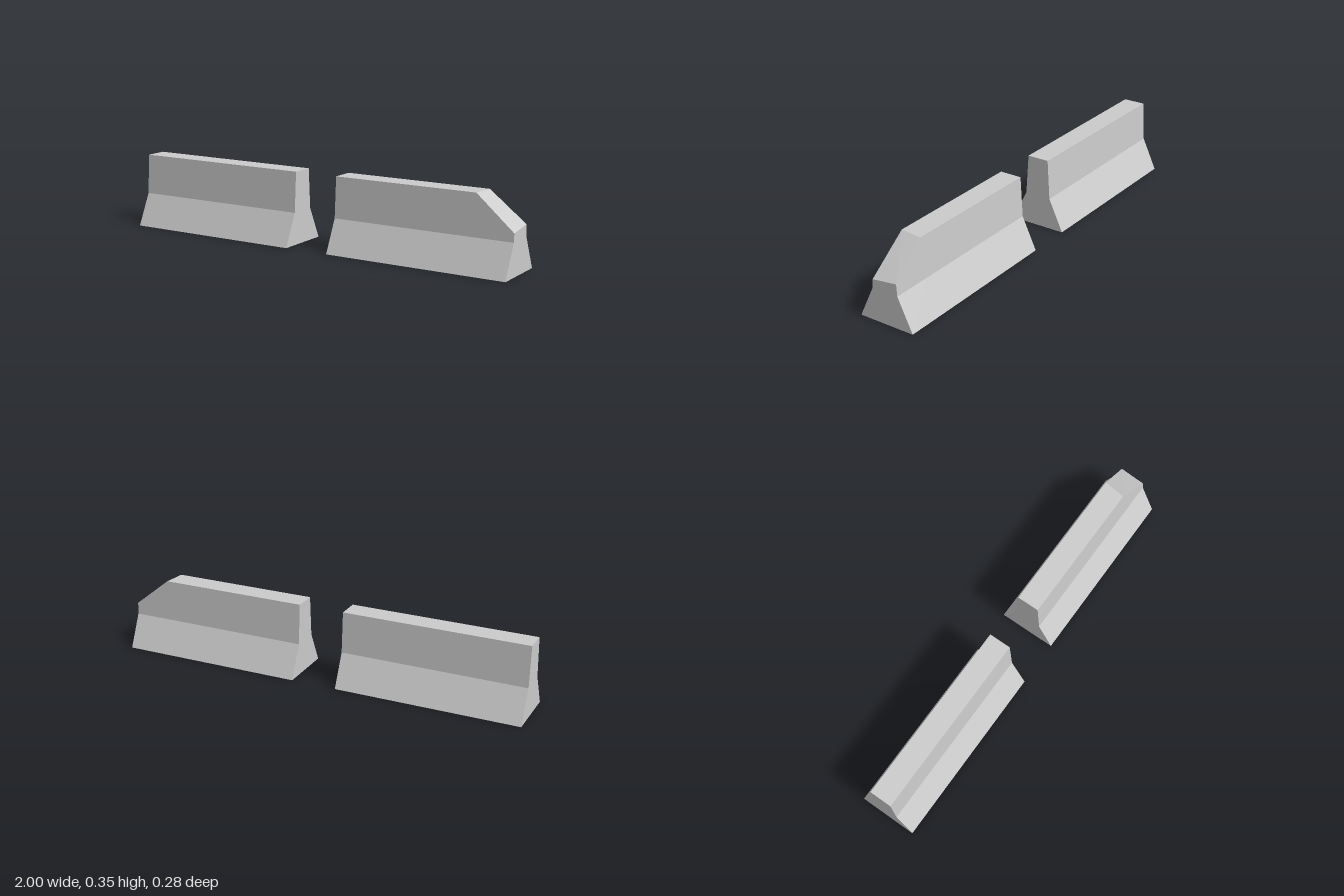
import * as THREE from 'three';

const HEIGHT = 0.349;
const KNEE = 0.155;

// Half thickness of the barrier at height y: splayed foot, then a slightly tapered wall
function halfDepth(y) {
  return y < KNEE
    ? THREE.MathUtils.mapLinear(y, 0, KNEE, 0.139, 0.066)
    : THREE.MathUtils.mapLinear(y, KNEE, HEIGHT, 0.066, 0.054);
}

// Six-point cross-section at x; the front and back top corners may be moved
function section(x, front = [x, HEIGHT], back = [x, HEIGHT]) {
  const point = ([px, py], side) => [px, py, side * halfDepth(py)];
  return [
    point([x, 0], 1), point([x, KNEE], 1), point(front, 1),
    point(back, -1), point([x, KNEE], -1), point([x, 0], -1),
  ];
}

// Skin consecutive cross-sections (running along +x) and close both ends
function loft(sections) {
  const positions = [];
  const quad = (a, b, c, d) => positions.push(...a, ...b, ...c, ...a, ...c, ...d);
  for (let s = 0; s < sections.length - 1; s++) {
    const a = sections[s], b = sections[s + 1];
    for (let i = 0; i < 6; i++) {
      const j = (i + 1) % 6;
      quad(a[i], b[i], b[j], a[j]);
    }
  }
  const p = sections[0], q = sections[sections.length - 1];
  quad(p[0], p[1], p[4], p[5]);
  quad(p[1], p[2], p[3], p[4]);
  quad(q[0], q[5], q[4], q[1]);
  quad(q[1], q[4], q[3], q[2]);
  const geometry = new THREE.BufferGeometry();
  geometry.setAttribute('position', new THREE.Float32BufferAttribute(positions, 3));
  geometry.computeVertexNormals();
  return geometry;
}

export function createModel() {
  const group = new THREE.Group();
  group.name = 'roadBarriers';
  const concrete = new THREE.MeshStandardMaterial({ color: 0xcccccc, flatShading: true });

  const add = (name, sections) => {
    const mesh = new THREE.Mesh(loft(sections), concrete);
    mesh.name = name;
    group.add(mesh);
  };

  // Intact barrier
  add('intactBarrier', [section(-1), section(-0.11)]);

  // Barrier with its outer top corner broken off at a slight skew
  add('brokenBarrier', [
    section(0.11),
    section(0.82, [0.815, HEIGHT], [0.828, HEIGHT]),
    section(1, [1, 0.195], [1, 0.211]),
  ]);

  return group;
}
